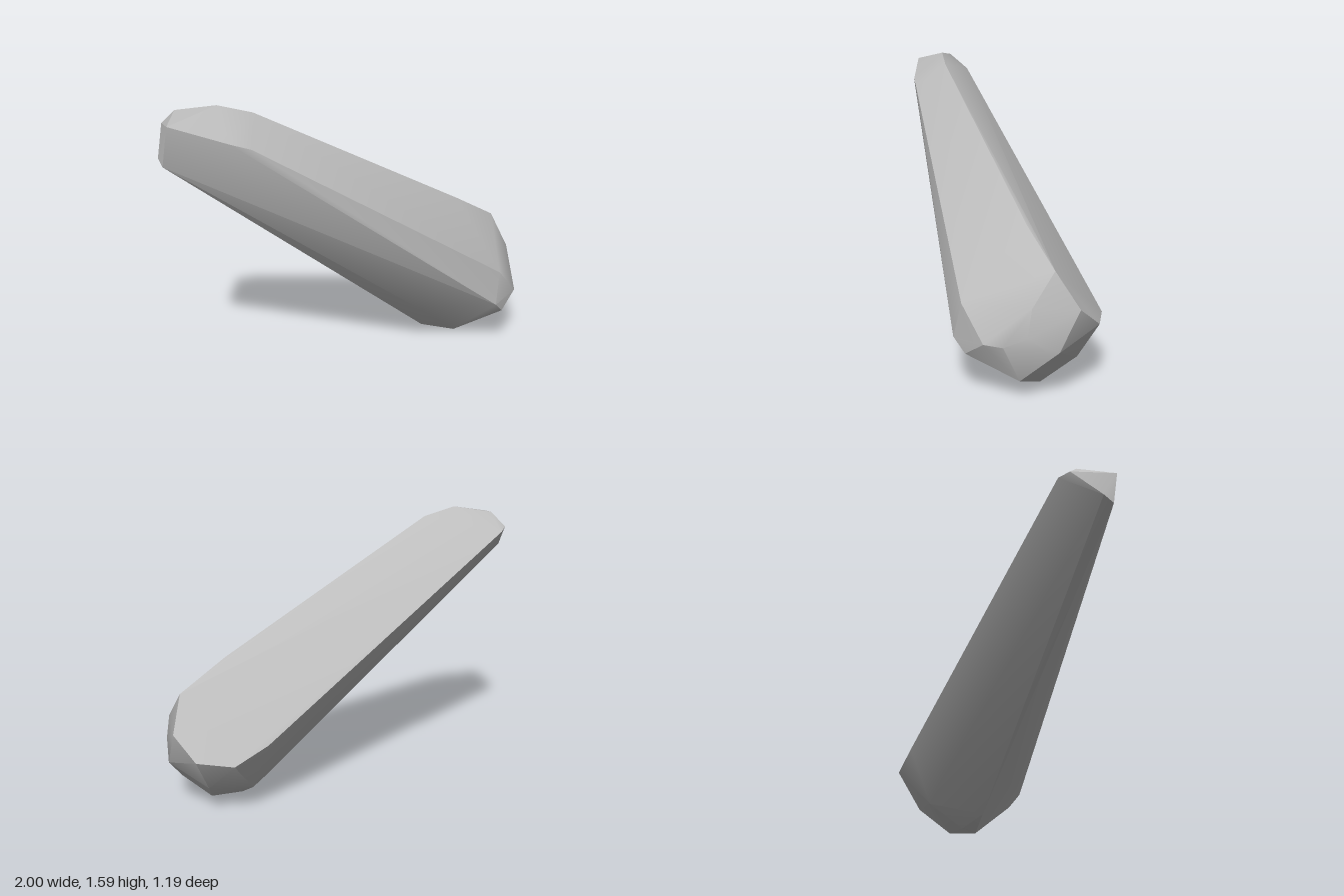
import * as THREE from 'three';
import { toCreasedNormals } from 'three/addons/utils/BufferGeometryUtils.js';
import { ConvexGeometry } from 'three/addons/geometries/ConvexGeometry.js';

// Rim of the broad flat face on the back
const flatRim = [
  [-0.52, 1.54, 0.36], [-0.7, 1.59, 0.4], [-0.92, 1.56, 0.375], [-1, 1.48, 0.33], [-0.97, 1.46, 0.27],
  [0.4, 0.45, -0.52], [0.58, 0.36, -0.6], [0.79, 0.375, -0.58], [0.92, 0.5, -0.48],
  [0.89, 0.69, -0.35], [0.65, 0.85, -0.2],
];

// Narrow upper tip
const tip = [[-0.93, 1.53, 0.59], [-0.97, 1.31, 0.555], [-1, 1.34, 0.5]];

// Ridge running down the front
const ridge = [[-0.62, 1.43, 0.573], [-0.52, 1.395, 0.545], [0.87, 0.5, 0.12], [0.85, 0.31, 0.165]];

// Rounded heavy end
const heavyEnd = [
  [0.9, 0.24, 0.1], [0.99, 0.33, 0], [1, 0.32, -0.1], [1, 0.37, -0.22], [0.975, 0.52, -0.24],
  [0.97, 0.29, -0.38], [0.93, 0.11, -0.18],
];

// Underside of the heavy end
const underside = [
  [0.4, 0.27, 0.12], [0.44, 0.06, -0.08], [0.65, 0, -0.12], [0.58, 0.01, -0.2],
  [0.75, 0.025, -0.28], [0.74, 0.17, -0.47], [0.5, 0.14, -0.4],
];

export function createModel() {
  const stone = new THREE.MeshStandardMaterial({ color: 0xbcbcbc });
  stone.name = 'stone grey';

  const points = [...flatRim, ...tip, ...ridge, ...heavyEnd, ...underside]
    .map((p) => new THREE.Vector3(...p));
  // Soft facets with sharp main edges
  const body = new THREE.Mesh(toCreasedNormals(new ConvexGeometry(points), 0.5), stone);
  body.name = 'stoneBody';

  const group = new THREE.Group();
  group.name = 'taperedStone';
  group.add(body);
  return group;
}
